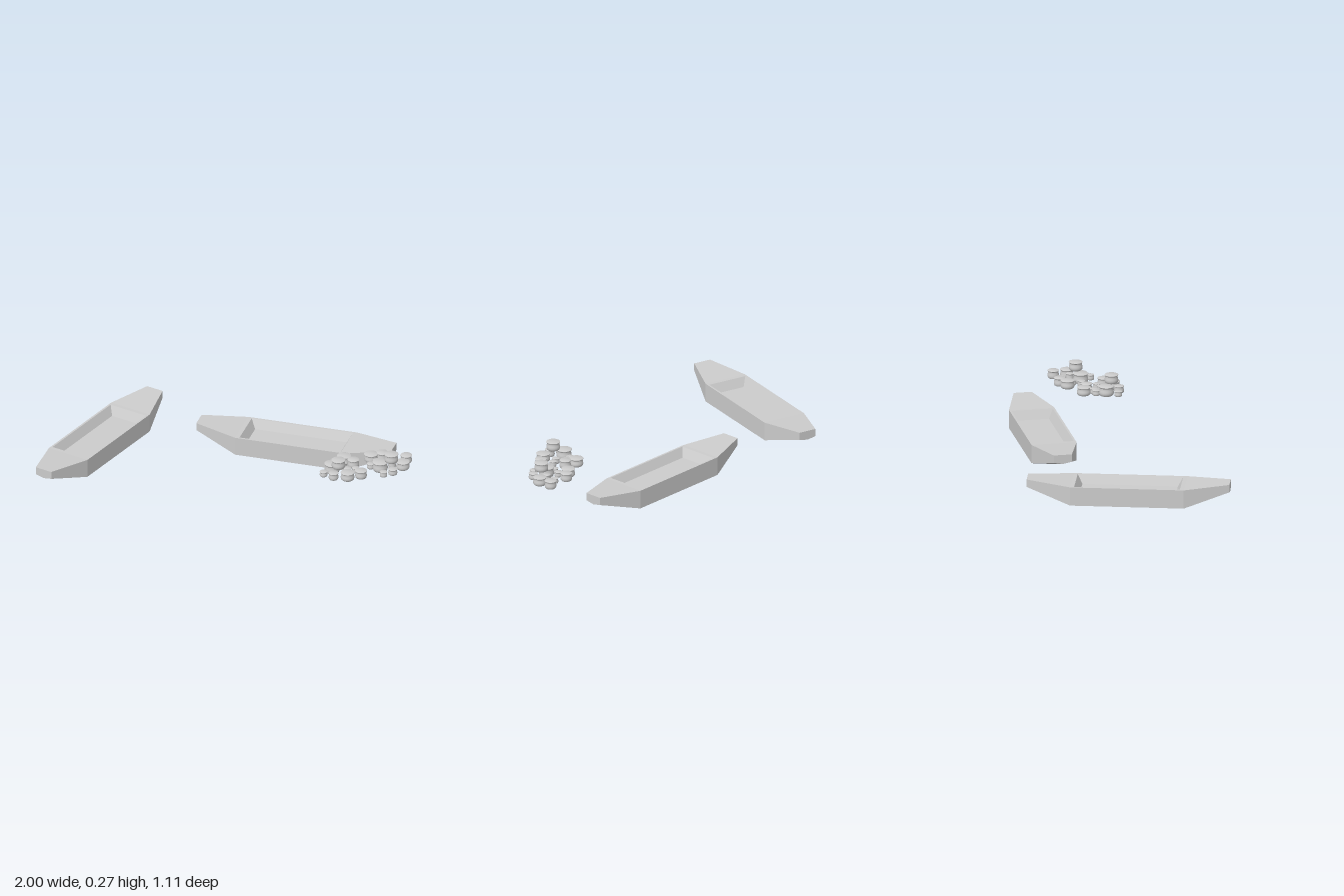
import * as THREE from 'three';
import { toCreasedNormals } from 'three/addons/utils/BufferGeometryUtils.js';

const material = new THREE.MeshStandardMaterial({ color: 0xcccccc });

// Faceted boat hull: lofted cross-sections, deck, and a sunken well
function hullGeometry() {
  const pos = [];
  const tri = (a, b, c) => pos.push(...a, ...b, ...c);
  const quad = (a, b, c, d) => { tri(a, b, c); tri(a, c, d); };
  const section = (x, w, deck, chine, keel) => [
    [x, deck, w], [x, chine, w], [x, keel, 0], [x, chine, -w], [x, deck, -w],
  ];
  const rect = (x, y, z) => [[-x, y, z], [x, y, z], [x, y, -z], [-x, y, -z]];

  const sections = [
    section(-0.5625, 0.051, 0.133, 0.09, 0.08),
    section(-0.315, 0.127, 0.119, 0.013, 0),
    section(0.315, 0.127, 0.119, 0.013, 0),
    section(0.5625, 0.051, 0.133, 0.09, 0.08),
  ];

  // Outer skin
  for (let i = 0; i < 3; i++) {
    const s = sections[i], t = sections[i + 1];
    for (let j = 0; j < 4; j++) quad(s[j + 1], t[j + 1], t[j], s[j]);
    // End decks
    if (i !== 1) quad(s[0], t[0], t[4], s[4]);
  }

  // Blunt ends
  const cap = (p) => { for (let j = 1; j < 4; j++) tri(p[0], p[j], p[j + 1]); };
  cap(sections[3]);
  cap([...sections[0]].reverse());

  // Rim, sloping well walls and floor
  const loops = [rect(0.315, 0.119, 0.127), rect(0.293, 0.119, 0.116), rect(0.265, 0.07, 0.088)];
  for (let i = 0; i < 2; i++) {
    for (let k = 0; k < 4; k++) {
      const n = (k + 1) % 4;
      quad(loops[i][k], loops[i][n], loops[i + 1][n], loops[i + 1][k]);
    }
  }
  quad(...loops[2]);

  const geometry = new THREE.BufferGeometry();
  geometry.setAttribute('position', new THREE.Float32BufferAttribute(pos, 3));
  geometry.computeVertexNormals();
  return geometry;
}

// Pot of unit radius and height: low belly, soft neck, flared rim, bevelled flat lid
function potGeometry() {
  const profile = [
    [0, 0], [0.8, 0], [0.92, 0.1], [0.98, 0.25], [0.98, 0.4], [0.93, 0.56],
    [0.89, 0.7], [0.9, 0.82], [1, 0.92], [1, 0.96], [0.9, 1], [0, 1],
  ].map(([r, y]) => new THREE.Vector2(r, y));
  return toCreasedNormals(new THREE.LatheGeometry(profile, 20), 0.6);
}

export function createModel() {
  const model = new THREE.Group();

  // Two identical boats
  const hull = hullGeometry();
  const addBoat = (name, x, z, turn) => {
    const boat = new THREE.Mesh(hull, material);
    boat.name = name;
    boat.position.set(x, 0, z);
    boat.rotation.y = turn;
    model.add(boat);
  };
  addBoat('straightBoat', 0.263, -0.273, 0);
  addBoat('angledBoat', -0.793, -0.001, 1.286);

  // Pot clusters: [x, z, radius, height, base]
  const pot = potGeometry();
  const ground = 0.163, stacked = 0.218;
  const clusters = {
    leftPots: [
      [0.767, -0.032, 0.039, 0.046, ground],
      [0.82, -0.066, 0.033, 0.046, ground],
      [0.957, -0.074, 0.033, 0.046, ground],
      [0.961, 0.003, 0.038, 0.046, ground],
      [0.847, 0.058, 0.043, 0.055, ground],
      [0.906, 0.042, 0.039, 0.049, stacked],
      [0.927, 0.083, 0.026, 0.035, ground],
      [0.81, 0.003, 0.022, 0.03, ground],
      [0.79, 0.05, 0.022, 0.03, ground],
      [0.89, -0.042, 0.022, 0.03, ground],
      [0.885, 0.121, 0.021, 0.03, ground],
      [0.9, 0.008, 0.022, 0.04, ground],
    ],
    rightPots: [
      [0.598, 0.153, 0.043, 0.055, ground],
      [0.63, 0.032, 0.039, 0.046, ground],
      [0.692, 0.059, 0.033, 0.046, ground],
      [0.705, 0.212, 0.039, 0.046, ground],
      [0.77, 0.17, 0.033, 0.046, ground],
      [0.646, 0.191, 0.039, 0.049, stacked],
      [0.63, 0.231, 0.028, 0.04, ground],
      [0.567, 0.214, 0.022, 0.03, ground],
      [0.641, 0.09, 0.022, 0.03, ground],
      [0.609, 0.098, 0.022, 0.03, ground],
      [0.681, 0.139, 0.022, 0.03, ground],
      [0.724, 0.122, 0.021, 0.03, ground],
    ],
  };
  for (const [name, pots] of Object.entries(clusters)) {
    const cluster = new THREE.Group();
    cluster.name = name;
    for (const [x, z, r, h, y] of pots) {
      const mesh = new THREE.Mesh(pot, material);
      mesh.name = y === stacked ? 'stackedPot' : 'pot';
      mesh.position.set(x, y, z);
      mesh.scale.set(r, h, r);
      cluster.add(mesh);
    }
    model.add(cluster);
  }
  return model;
}
